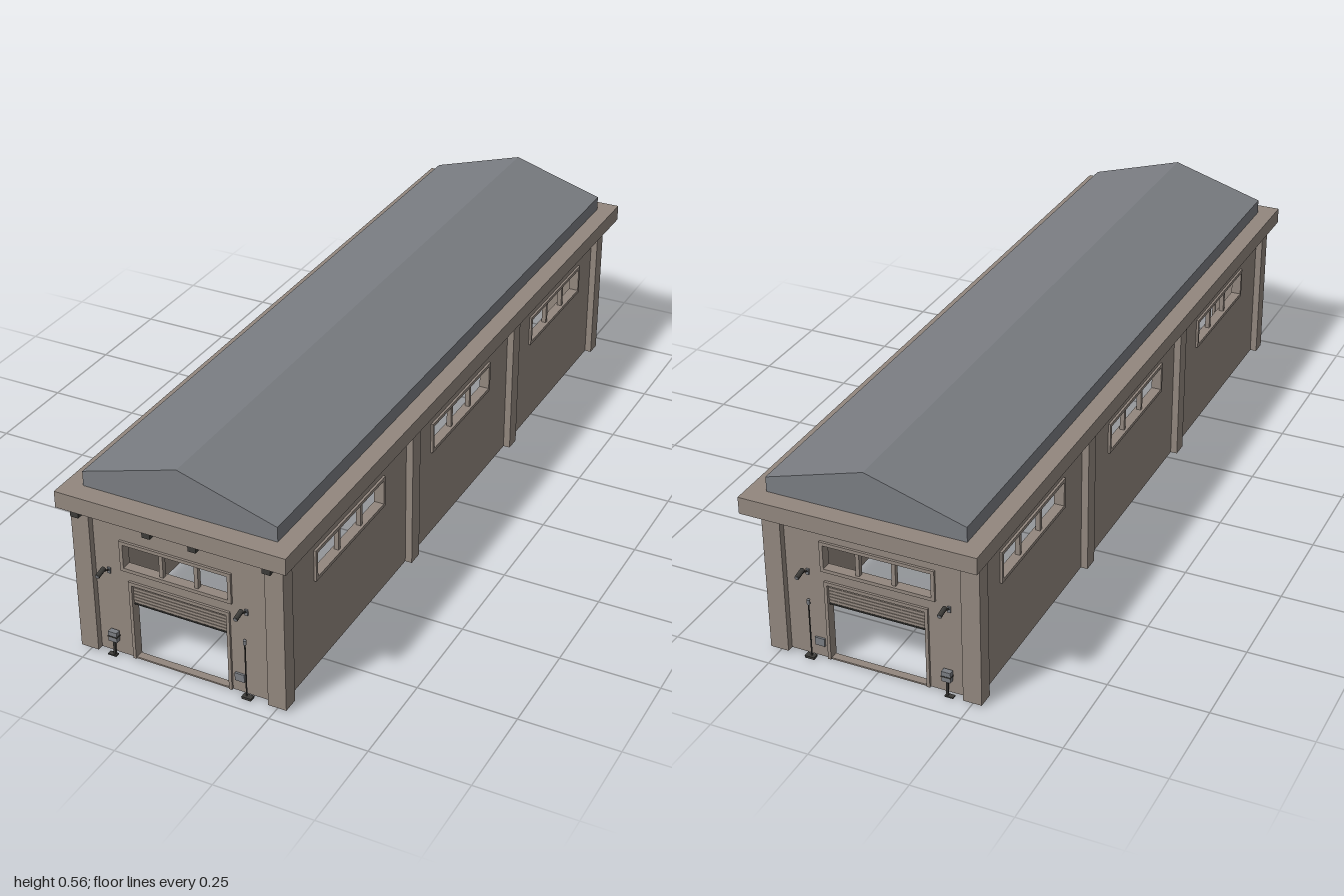
import * as THREE from 'three';

export function createModel() {
  const mat = (name, color, side = THREE.FrontSide) => {
    const m = new THREE.MeshStandardMaterial({ color, side });
    m.name = name;
    return m;
  };
  const stone = mat('warm stone', 0x92877e);
  const slate = mat('slate grey', 0x7a7d82);
  const dark = mat('dark metal', 0x3c3b38);

  const root = new THREE.Group();
  root.name = 'longHall';
  const MID = 0.01; // z centre of the walls

  const add = (parent, name, geo, material, x = 0, y = 0, z = 0) => {
    const m = new THREE.Mesh(geo, material);
    m.name = name;
    m.position.set(x, y, z);
    parent.add(m);
    return m;
  };
  // Box given by its limits
  const box = (parent, name, material, x0, x1, y0, y1, z0, z1) =>
    add(parent, name, new THREE.BoxGeometry(x1 - x0, y1 - y0, Math.abs(z1 - z0)), material,
      (x0 + x1) / 2, (y0 + y1) / 2, (z0 + z1) / 2);
  // Rod between two points
  const rod = (parent, name, material, a, b, r) => {
    const p = new THREE.Vector3(...a), q = new THREE.Vector3(...b);
    const m = add(parent, name, new THREE.CylinderGeometry(r, r, p.distanceTo(q), 8), material);
    m.position.copy(p).add(q).multiplyScalar(0.5);
    m.quaternion.setFromUnitVectors(new THREE.Vector3(0, 1, 0), q.sub(p).normalize());
  };
  const rect = (P, x0, x1, y0, y1) => {
    const s = new P();
    s.moveTo(x0, y0); s.lineTo(x1, y0); s.lineTo(x1, y1); s.lineTo(x0, y1); s.closePath();
    return s;
  };
  // Upright plate with rectangular holes, centred on depth d
  const plate = (parent, name, outer, holes, thick, d) => {
    const s = rect(THREE.Shape, ...outer);
    holes.forEach(h => s.holes.push(rect(THREE.Path, ...h)));
    const g = new THREE.ExtrudeGeometry(s, { depth: thick, bevelEnabled: false });
    return add(parent, name, g, stone, 0, 0, d - thick / 2);
  };
  // Raised surround and two mullions around one window opening
  const windowFrame = (parent, [x0, x1, y0, y1], d) => {
    const e = 0.009, w = x1 - x0;
    plate(parent, 'windowFrame', [x0 - e, x1 + e, y0 - e, y1 + e], [[x0, x1, y0, y1]], 0.026, d);
    for (const f of [0.354, 0.69]) {
      const x = x0 + w * f;
      box(parent, 'windowMullion', stone, x - 0.005, x + 0.005, y0, y1, d - 0.006, d + 0.006);
    }
  };

  // Roof slab and gabled roof
  box(root, 'roofSlab', stone, -0.297, 0.297, 0.4, 0.443, -1, 0.99);
  const gable = new THREE.Shape([[-0.251, 0.443], [0.251, 0.443], [0.251, 0.481], [0, 0.556], [-0.251, 0.481]]
    .map(p => new THREE.Vector2(...p)));
  add(root, 'gableRoof', new THREE.ExtrudeGeometry(gable, { depth: 1.892, bevelEnabled: false }),
    slate, 0, 0, -0.952);

  // Pillars along both long sides
  for (const s of [-1, 1])
    for (const z of [0.943, 0.292, -0.322, -0.924])
      add(root, 'pillar', new THREE.BoxGeometry(0.047, 0.39, 0.042), stone, s * 0.2515, 0.2, z);

  // Long walls, drawn flat and turned to run along z
  for (const s of [-1, 1]) {
    const side = new THREE.Group();
    side.name = s > 0 ? 'leftWall' : 'rightWall';
    side.rotation.y = Math.PI / 2;
    root.add(side);
    const holes = [0.614, -0.003, -0.629].map(z => [-z - 0.167, -z + 0.167, 0.256, 0.321]);
    plate(side, 'sidePanel', [-0.945, 0.925, 0.005, 0.4], holes, 0.014, s * 0.25);
    holes.forEach(h => windowFrame(side, h, s * 0.25));
  }

  // Purlins and cross beams under the ceiling
  for (const x of [-0.06, 0.059])
    box(root, 'purlin', dark, x - 0.0105, x + 0.0105, 0.385, 0.4, -0.93, 0.95);
  for (const z of [0.292, -0.322])
    box(root, 'crossBeam', stone, -0.243, 0.243, 0.385, 0.4, z - 0.015, z + 0.015);

  // Both ends, the back being the front reflected in z
  for (const s of [1, -1]) {
    const end = new THREE.Group();
    end.name = s > 0 ? 'frontEnd' : 'backEnd';
    end.position.z = MID;
    root.add(end);
    const d = s * 0.931, face = s * 0.938;
    const win = [-0.148, 0.126, 0.257, 0.32];

    plate(end, 'endPanel', [-0.243, 0.243, 0.005, 0.4], [win, [-0.13, 0.12, 0.009, 0.213]], 0.014, d);
    windowFrame(end, win, d);

    // Door surround, sill and half-raised shutter
    box(end, 'doorJamb', stone, -0.138, -0.13, 0.005, 0.222, d - 0.013, d + 0.013);
    box(end, 'doorJamb', stone, 0.12, 0.128, 0.005, 0.222, d - 0.013, d + 0.013);
    box(end, 'doorLintel', stone, -0.13, 0.12, 0.213, 0.222, d - 0.013, d + 0.013);
    box(end, 'doorSill', stone, -0.13, 0.12, 0.005, 0.009, d - 0.01, d + 0.01);
    box(end, 'shutterBacking', slate, -0.13, 0.12, 0.161, 0.213, d - 0.002, d + 0.002);
    for (let i = 0; i < 6; i++)
      box(end, 'shutterSlat', stone, -0.13, 0.12, 0.162 + i * 0.0085, 0.1695 + i * 0.0085, d - 0.005, d + 0.005);
    box(end, 'shutterBottomBar', dark, -0.13, 0.12, 0.157, 0.16, d - 0.005, d + 0.005);

    // Brackets below the slab
    for (const x of [-0.249, -0.06, 0.059, 0.246])
      box(end, 'eaveBracket', dark, x - 0.0105, x + 0.0105, 0.385, 0.4, face, s * 0.977);

    // Wall lamps on short arms
    for (const x of [-0.191, 0.171]) {
      box(end, 'lampPlate', slate, x - 0.004, x + 0.004, 0.228, 0.243, face, face + s * 0.004);
      rod(end, 'lampArm', dark, [x, 0.236, face], [x, 0.249, s * 0.966], 0.0022);
      rod(end, 'lampHead', dark, [x, 0.253, s * 0.96], [x, 0.247, s * 0.988], 0.006);
      rod(end, 'lampLens', slate, [x, 0.247, s * 0.988], [x, 0.2468, s * 0.989], 0.005);
    }

    // Control box on its stand
    const zc = s * 0.948;
    box(end, 'controlBox', slate, -0.197, -0.174, 0.043, 0.07, zc - 0.007, zc + 0.007);
    box(end, 'controlBoxBand', dark, -0.198, -0.173, 0.055, 0.058, zc - 0.008, zc + 0.008);
    box(end, 'controlBoxStand', dark, -0.188, -0.183, 0, 0.043, zc - 0.003, zc + 0.003);
    box(end, 'controlBoxFoot', dark, -0.202, -0.18, 0, 0.003, zc - 0.006, zc + 0.006);

    // Slim pole with base and head, and a small wall plate
    rod(end, 'pole', dark, [0.169, 0, zc], [0.169, 0.155, zc], 0.0018);
    rod(end, 'poleHead', slate, [0.169, 0.151, zc], [0.169, 0.163, zc], 0.0042);
    box(end, 'poleBase', dark, 0.159, 0.184, 0, 0.006, zc - 0.008, zc + 0.008);
    box(end, 'wallPlate', slate, 0.136, 0.161, 0.036, 0.057, face, face + s * 0.005);
  }
  return root;
}
